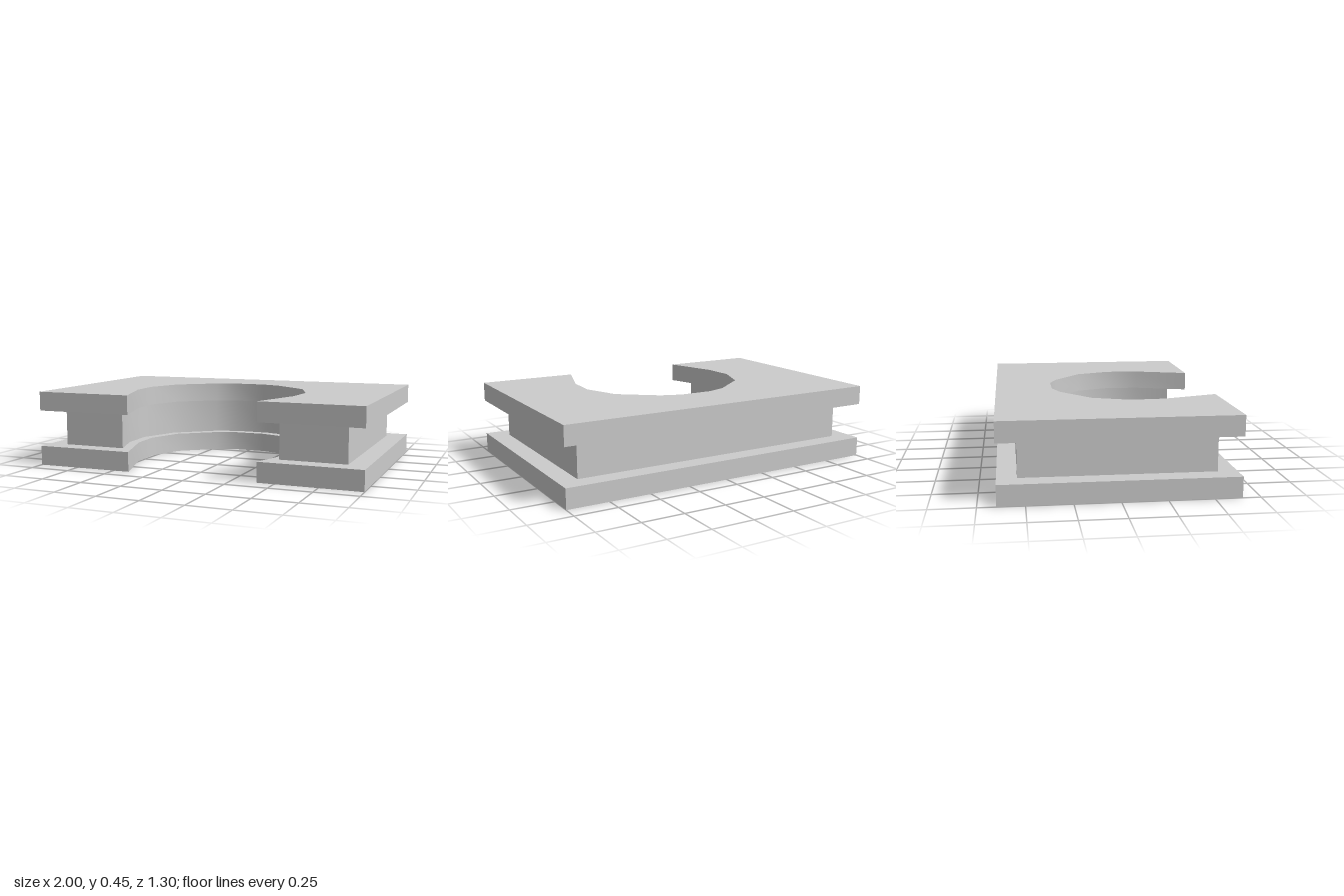
import * as THREE from 'three';
import { toCreasedNormals } from 'three/addons/utils/BufferGeometryUtils.js';

// Right half of the horseshoe cut-out as [x, z], from the front opening to the back
const plateArch = [[0.4, 0.645], [0.507, 0.32], [0.518, 0.12], [0.435, -0.095], [0.22, -0.265], [0.1, -0.307]];
const coreArch = [[0.495, 0.54], [0.567, 0.33], [0.58, 0.11], [0.485, -0.13], [0.25, -0.322], [0.11, -0.367]];

export function createModel() {
  const group = new THREE.Group();
  const material = new THREE.MeshStandardMaterial({ color: 0xcccccc });

  // Rectangular slab with the cut-out open towards the front
  function addSlab(name, halfWidth, back, front, arch, bottom, height) {
    const mirrored = arch.map(([x, z]) => [-x, z]).reverse();
    const outline = [
      [halfWidth, front], [halfWidth, -back], [-halfWidth, -back], [-halfWidth, front],
      ...mirrored.slice().reverse(), ...arch.slice().reverse(),
    ];
    const shape = new THREE.Shape(outline.map(([x, z]) => new THREE.Vector2(x, -z)));
    const extruded = new THREE.ExtrudeGeometry(shape, { depth: height, bevelEnabled: false });
    extruded.rotateX(-Math.PI / 2);
    const mesh = new THREE.Mesh(toCreasedNormals(extruded, 0.6), material);
    mesh.name = name;
    mesh.position.y = bottom;
    group.add(mesh);
  }

  addSlab('bottomPlate', 1, 0.65, 0.65, plateArch, 0, 0.117);
  addSlab('recessedCore', 0.885, 0.54, 0.54, coreArch, 0.117, 0.218);
  addSlab('topPlate', 1, 0.65, 0.65, plateArch, 0.335, 0.115);
  return group;
}
